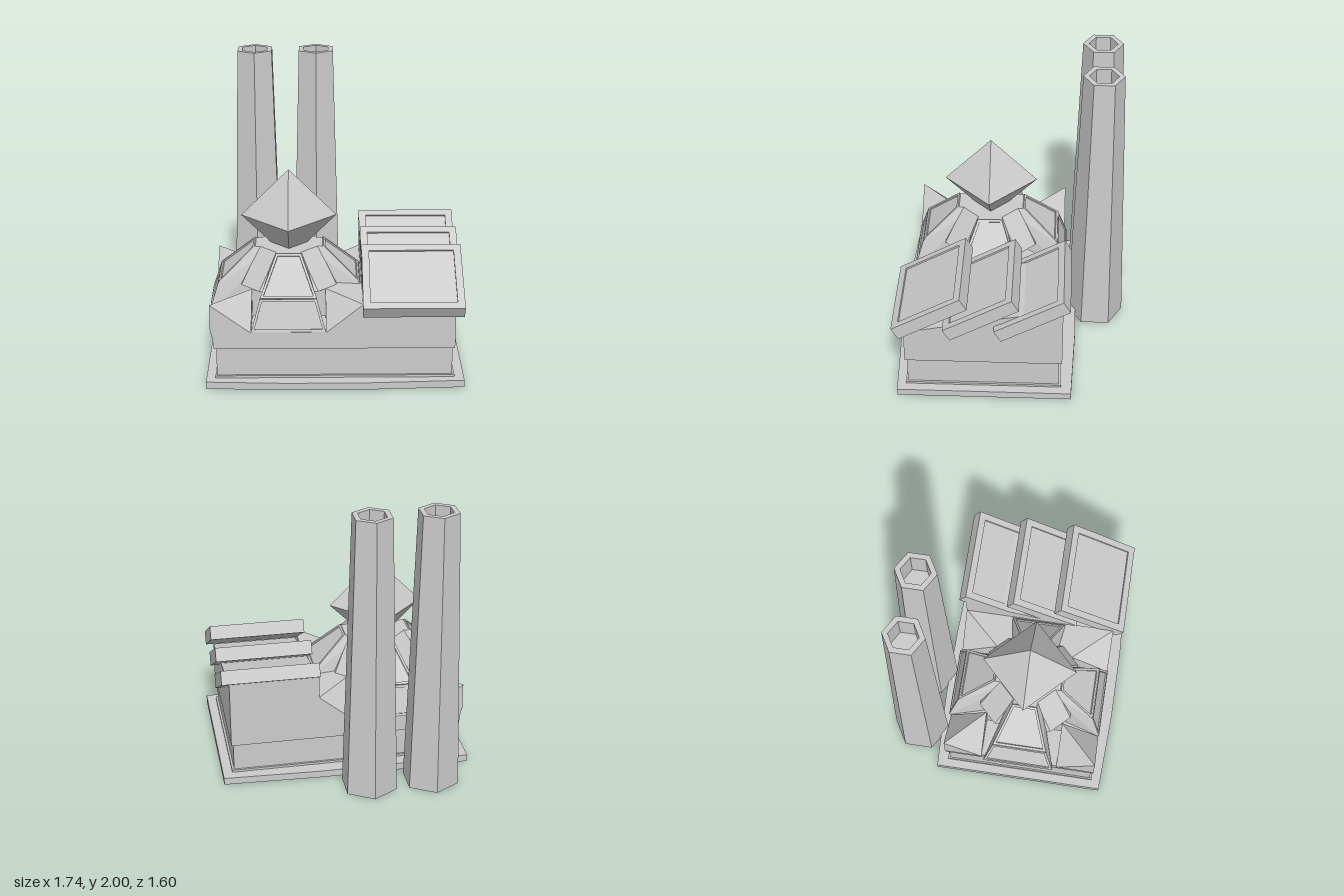
import * as THREE from 'three';
import { ConvexGeometry } from 'three/addons/geometries/ConvexGeometry.js';

const mat = new THREE.MeshStandardMaterial({ color: 0xcccccc, flatShading: true });
const CX = -0.315, CZ = 0.17; // centre of the crystal tower

function add(parent, name, geometry, x = 0, y = 0, z = 0) {
  const mesh = new THREE.Mesh(geometry, mat);
  mesh.name = name;
  mesh.position.set(x, y, z);
  parent.add(mesh);
  return mesh;
}

// Solid spanned by a few corner points
const hull = (points) => new ConvexGeometry(points.map((p) => new THREE.Vector3(...p)));

function block(parent, name, x0, x1, y0, y1, z0, z1) {
  return add(parent, name, new THREE.BoxGeometry(x1 - x0, y1 - y0, z1 - z0),
    (x0 + x1) / 2, (y0 + y1) / 2, (z0 + z1) / 2);
}

// Raised rim around a trapezoid standing on local y = 0
function rim(w0, w1, length, margin, depth) {
  const trapezoid = (Type, m) => {
    const half = (y) => THREE.MathUtils.lerp(w0, w1, y / length) / 2 - m;
    return new Type([[-half(m), m], [half(m), m], [half(length - m), length - m], [-half(length - m), length - m]]
      .map(([x, y]) => new THREE.Vector2(x, y)));
  };
  const shape = trapezoid(THREE.Shape, 0);
  shape.holes.push(trapezoid(THREE.Path, margin));
  return new THREE.ExtrudeGeometry(shape, { depth, bevelEnabled: false });
}

// One glazed bay facing +z, measured from the tower centre
function makeBay() {
  const bay = new THREE.Group();
  const rows = [[0.54, 0.385, 0.25], [0.475, 0.595, 0.19], [0.23, 0.82, 0.085]]; // distance, height, half width
  const points = [];
  for (const s of [-1, 1]) {
    for (const [d, y, w] of rows) points.push([s * w, y, d]);
    points.push([s * 0.085, 0.82, 0.1], [s * 0.12, 0.385, 0.1]);
  }
  add(bay, 'bayBody', hull(points));
  for (let i = 0; i < 2; i++) {
    const [d0, y0, w0] = rows[i], [d1, y1, w1] = rows[i + 1];
    const frame = add(bay, 'windowFrame',
      rim(2 * w0, 2 * w1, Math.hypot(d1 - d0, y1 - y0), 0.018, 0.01), 0, y0, d0);
    frame.rotation.x = Math.atan2(d1 - d0, y1 - y0);
  }
  return bay;
}

// Tilted roof panel with a rim; origin at the front edge
function makeRoofPanel() {
  const panel = new THREE.Group();
  const width = 0.675, length = 0.538;
  block(panel, 'panelSlab', -width / 2, width / 2, 0, length, -0.097, -0.012);
  add(panel, 'panelRim', rim(width, width, length, 0.05, 0.012), 0, 0, -0.012);
  panel.rotation.x = -Math.PI / 3;
  return panel;
}

export function createModel() {
  const model = new THREE.Group();
  model.name = 'powerPlant';

  // Base plate with slightly bowed front and back
  const outline = [[-0.87, 0.775], [-0.33, 0.8], [0.2, 0.8], [0.865, 0.77],
    [0.865, -0.43], [0.2, -0.457], [-0.33, -0.457], [-0.87, -0.432]];
  add(model, 'basePlate', hull(outline.flatMap(([x, z]) => [[x, 0, z], [x, 0.05, z]])));

  // Walls
  block(model, 'plinth', -0.81, 0.8, 0.05, 0.066, -0.36, 0.715);
  block(model, 'lowerWall', -0.8, 0.785, 0.066, 0.265, -0.345, 0.7);
  const wall = [];
  for (const z of [-0.365, 0.715]) {
    wall.push([-0.815, 0.265, z], [-0.83, 0.385, z], [0.8, 0.265, z], [0.8, 0.385, z]);
  }
  add(model, 'upperWall', hull(wall));

  // Wing below the roof panels
  const wing = [];
  for (const x of [0.18, 0.8]) {
    for (const [z, y] of [[0.715, 0.385], [0.715, 0.515], [-0.365, 0.745], [-0.365, 0.385]]) wing.push([x, y, z]);
  }
  add(model, 'wing', hull(wing));
  for (let i = 0; i < 3; i++) {
    const panel = makeRoofPanel();
    panel.name = 'roofPanel';
    panel.position.set(0.5175, 0.587, 0.79 - 0.345 * i);
    model.add(panel);
  }

  // Ridged roof corners around the tower
  const lo = 0.38, hi = 0.585;
  for (const [zOut, zIn] of [[0.715, 0.445], [-0.365, -0.1]]) {
    for (const [xOut, xIn] of [[-0.838, -0.565], [0.185, -0.065]]) {
      const points = [[xOut, lo, zOut], [xIn, lo, zOut], [xOut, lo, zIn], [xIn, lo, zIn],
        [xOut, hi, zOut], [xIn, hi, zIn]];
      if (xOut > 0) points.push([xOut, hi, zIn]);
      add(model, 'roofCorner', hull(points));
    }
  }
  block(model, 'towerFoot', -0.565, 0.185, lo, hi, -0.1, 0.445);

  // Tower core with four diagonal faces
  const core = [];
  for (const sx of [-1, 1]) {
    for (const sz of [-1, 1]) {
      for (const [a, b, y] of [[0.2, 0.325, 0.585], [0.08, 0.2, 0.82]]) {
        core.push([sx * a, y, sz * b], [sx * b, y, sz * a]);
      }
    }
  }
  add(model, 'towerCore', hull(core), CX, 0, CZ);

  // Four bays around the tower
  for (let i = 0; i < 4; i++) {
    const bay = makeBay();
    bay.name = 'bay';
    bay.position.set(CX, 0, CZ);
    bay.rotation.y = i * Math.PI / 2;
    model.add(bay);
  }

  // Crystal
  add(model, 'crystal', new THREE.OctahedronGeometry(0.327), CX, 1.02, CZ);

  // Hollow six-sided chimneys
  const profile = [[0, 0], [0.2, 0], [0.14, 2], [0.1, 2], [0.1, 1.8], [0, 1.8]]
    .map(([r, y]) => new THREE.Vector2(r, y));
  for (const x of [-0.56, -0.125]) {
    add(model, 'chimney', new THREE.LatheGeometry(profile, 6), x, 0, -0.6);
  }
  return model;
}
